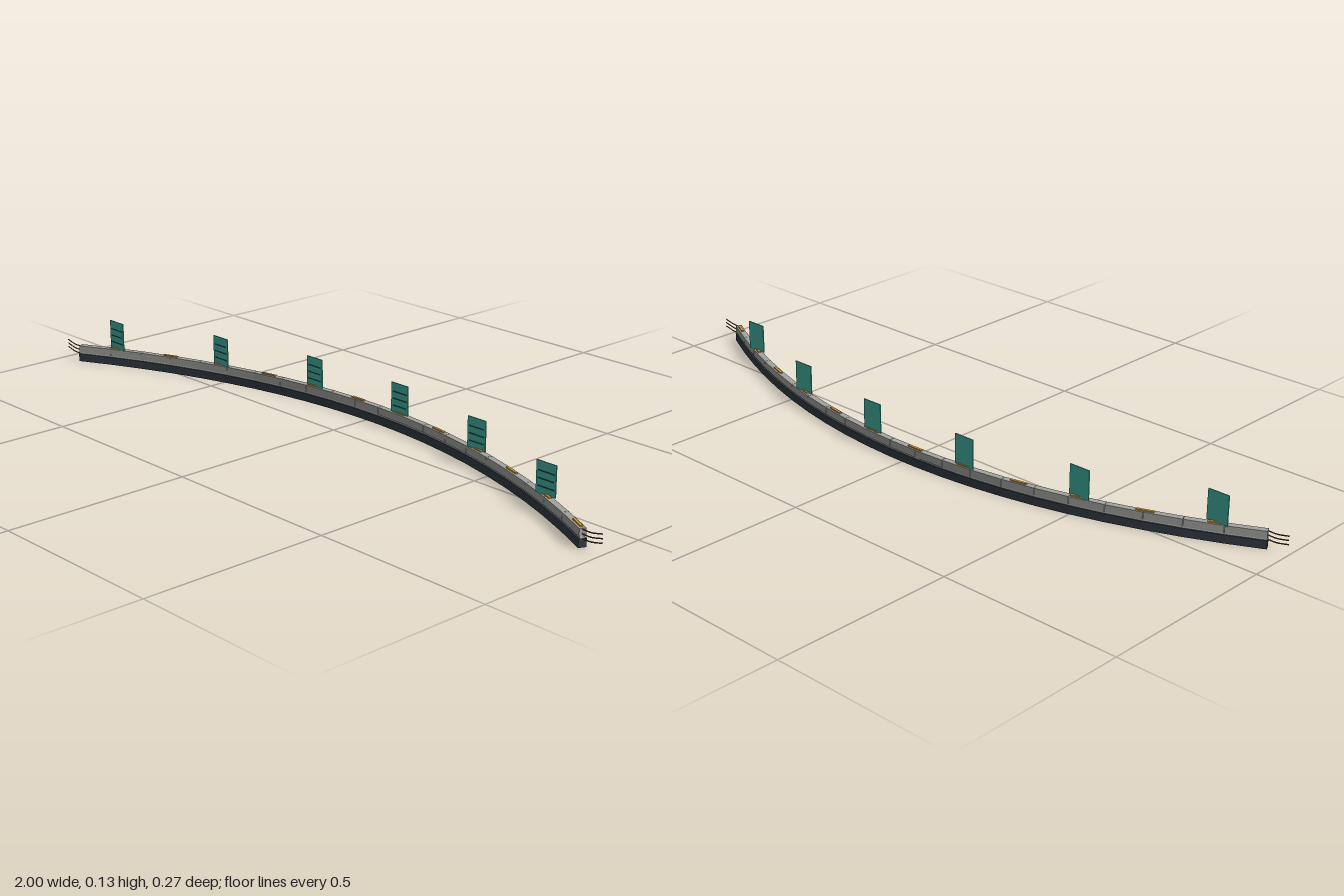
import * as THREE from 'three';

// Plan curve of the strip: a shallow parabola
const curveZ = (x) => -0.127 + 0.283 * x * x;
const END = 0.942;
const SEGMENTS = 21;

const mat = (color) => new THREE.MeshStandardMaterial({ color });
const dark = mat(0x333b44);
const grey = mat(0xa3a49f);
const light = mat(0xcccccc);
const orange = mat(0xd29a3a);
const teal = mat(0x45b5a6);
const deepTeal = mat(0x1f4f4c);
const copper = mat(0x7a5638);

function box(name, w, h, d, material, x, y, z) {
  const mesh = new THREE.Mesh(new THREE.BoxGeometry(w, h, d), material);
  mesh.name = name;
  mesh.position.set(x, y, z);
  return mesh;
}

export function createModel() {
  const model = new THREE.Group();
  model.name = 'curvedStrip';

  // Chain of straight modules following the curve
  const step = (2 * END) / SEGMENTS;
  for (let i = 0; i < SEGMENTS; i++) {
    const x0 = -END + i * step, x1 = x0 + step;
    const z0 = curveZ(x0), z1 = curveZ(x1);
    const length = Math.hypot(step, z1 - z0);
    const segment = new THREE.Group();
    segment.name = 'segment';
    segment.position.set((x0 + x1) / 2, 0, (z0 + z1) / 2);
    segment.rotation.y = -Math.atan2(z1 - z0, step);
    segment.add(
      box('base', length + 0.001, 0.022, 0.02, dark, 0, 0.011, 0),
      box('spacer', length, 0.005, 0.012, light, 0, 0.024, 0),
      box('topRail', length - 0.001, 0.02, 0.017, grey, 0, 0.036, 0),
    );
    model.add(segment);
  }

  // Contacts along the top, with an upright card on every second one
  for (let i = 0; i < 12; i++) {
    const x = -0.835 + i * 0.159;
    const z = curveZ(x);
    const contact = box('contact', 0.045, 0.004, 0.007, orange, x, 0.0475, z);
    contact.rotation.y = -Math.atan(0.566 * x);
    model.add(contact);
    if (i % 2) continue;
    const card = new THREE.Group();
    card.name = 'card';
    card.position.set(x, 0.0465, z);
    card.add(box('cardPanel', 0.06, 0.08, 0.003, teal, 0, 0.04, 0));
    for (const y of [0.018, 0.037, 0.056]) {
      card.add(box('cardLine', 0.05, 0.003, 0.001, deepTeal, 0, y, 0.002));
    }
    model.add(card);
  }

  // Three loose leads at each end
  for (const side of [-1, 1]) {
    for (const y of [0.022, 0.033, 0.044]) {
      const path = new THREE.CatmullRomCurve3([
        new THREE.Vector3(side * 0.935, y, 0.124),
        new THREE.Vector3(side * 0.965, y - 0.001, 0.125),
        new THREE.Vector3(side * 1.0, y + 0.006, 0.125),
      ]);
      const lead = new THREE.Mesh(new THREE.TubeGeometry(path, 8, 0.0016, 6), copper);
      lead.name = 'lead';
      model.add(lead);
    }
  }
  return model;
}
